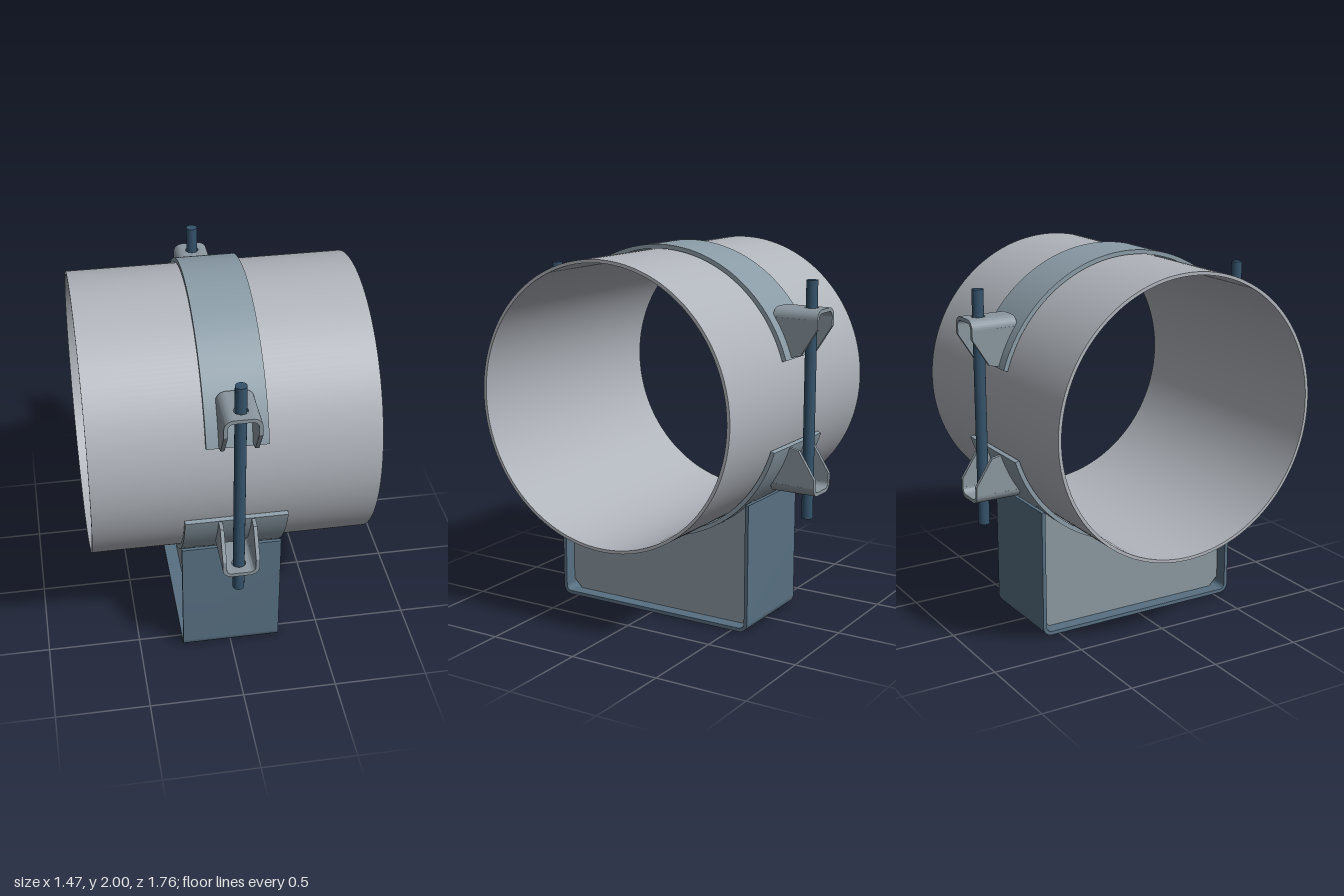
import * as THREE from 'three';
import { toCreasedNormals } from 'three/addons/utils/BufferGeometryUtils.js';

const AXIS = 1.225; // height of the pipe axis
const PIPE_R = 0.748, STRAP_IN = 0.752, STRAP_OUT = 0.775;

const mat = (color) => new THREE.MeshStandardMaterial({ color });
const pipeMat = mat(0xb0b4bb), strapMat = mat(0x8a9ba6), lugMat = mat(0x8a969f);
const channelMat = mat(0x587082), rodMat = mat(0x34526a);

function extrude(shape, depth, curveSegments) {
  const g = new THREE.ExtrudeGeometry(shape, { depth, bevelEnabled: false, curveSegments });
  g.translate(0, 0, -depth / 2);
  return toCreasedNormals(g, 0.5);
}

// Shape drawn in (z, y), extruded along x and centred on x = 0
const extrudeX = (shape, width, segs = 48) => extrude(shape, width, segs).rotateY(-Math.PI / 2);

function add(parent, name, geometry, material, x = 0, y = 0, z = 0) {
  const mesh = new THREE.Mesh(geometry, material);
  mesh.name = name;
  mesh.position.set(x, y, z);
  parent.add(mesh);
  return mesh;
}

function polygon(points) {
  return new THREE.Shape(points.map(([a, b]) => new THREE.Vector2(a, b)));
}

function ringSector(inner, outer, a0, a1) {
  const s = new THREE.Shape();
  s.absarc(0, 0, outer, a0, a1, false);
  s.absarc(0, 0, inner, a1, a0, true);
  s.closePath();
  return s;
}

// Bent clamp bracket, relative to the pipe axis, on the upper front
function makeLug() {
  const lug = new THREE.Group();
  const t = 0.02, half = 0.095, bend = 0.05, top = 0.485;
  const z0 = 0.63, z1 = 0.88, zMid = (z0 + z1) / 2;

  // Side cheeks tapering down to the strap
  const cheek = new THREE.Shape();
  cheek.moveTo(z1, top - bend);
  cheek.lineTo(z1, 0.388);
  cheek.lineTo(0.788, 0.246);
  cheek.lineTo(0.735, 0.235);
  cheek.absarc(0, 0, 0.772, 0.31, 0.598, false);
  cheek.closePath();

  for (const s of [1, -1]) {
    add(lug, 'lugCheek', extrudeX(cheek, t, 12), lugMat, s * (half - t / 2));
    // Rounded bend between cheek and top
    const a0 = s > 0 ? 0 : Math.PI / 2;
    add(lug, 'lugBend', extrude(ringSector(bend - t, bend, a0, a0 + Math.PI / 2), z1 - z0, 8),
      lugMat, s * (half - bend), top - bend, zMid);
  }

  // Flat top with a clearance hole for the rod
  const w = half - bend;
  const plate = polygon([[-w, z0], [w, z0], [w, z1], [-w, z1]]);
  const hole = new THREE.Path();
  hole.absarc(0, 0.8, 0.036, 0, Math.PI * 2, true);
  plate.holes.push(hole);
  add(lug, 'lugTop', extrude(plate, t, 16).rotateX(Math.PI / 2), lugMat, 0, top - t / 2);
  return lug;
}

export function createModel() {
  const model = new THREE.Group();
  model.name = 'pipeClampSupport';

  // Pipe
  const pipe = new THREE.Shape();
  pipe.absarc(0, 0, PIPE_R, 0, Math.PI * 2, false);
  const bore = new THREE.Path();
  bore.absarc(0, 0, 0.731, 0, Math.PI * 2, true);
  pipe.holes.push(bore);
  add(model, 'pipe', extrudeX(pipe, 1.466, 96), pipeMat, 0, AXIS);

  // Upper strap and the wider lower saddle
  const e = 0.298;
  add(model, 'upperStrap', extrudeX(ringSector(STRAP_IN, STRAP_OUT, e, Math.PI - e), 0.314, 64),
    strapMat, 0, AXIS);
  add(model, 'lowerSaddle', extrudeX(ringSector(STRAP_IN, STRAP_OUT, Math.PI + e, 2 * Math.PI - e), 0.53, 64),
    strapMat, 0, AXIS);

  // Four brackets and two threaded rods
  for (const turnY of [0, Math.PI]) {
    for (const turnZ of [0, Math.PI]) {
      const lug = makeLug();
      lug.name = 'clampLug';
      lug.position.y = AXIS;
      lug.rotation.set(0, turnY, turnZ);
      model.add(lug);
    }
    add(model, 'rod', new THREE.CylinderGeometry(0.03, 0.03, 1.25, 32), rodMat,
      0, AXIS, turnY ? -0.8 : 0.8);
  }

  // Bent base channel, open at both x ends
  const Z = 0.595, H = 0.698, t = 0.02, r = 0.05;
  const channel = new THREE.Shape();
  channel.moveTo(-Z, H);
  channel.lineTo(-Z, r);
  channel.absarc(-Z + r, r, r, Math.PI, 1.5 * Math.PI, false);
  channel.absarc(Z - r, r, r, 1.5 * Math.PI, 2 * Math.PI, false);
  channel.lineTo(Z, H);
  channel.lineTo(Z - t, H);
  channel.absarc(Z - r, r, r - t, 0, -Math.PI / 2, true);
  channel.absarc(-Z + r, r, r - t, -Math.PI / 2, -Math.PI, true);
  channel.lineTo(-Z + t, H);
  channel.closePath();
  add(model, 'baseChannel', extrudeX(channel, 0.53, 10), channelMat);

  // Web plates with clipped corners, cradling the saddle
  const wz = 0.574, clip = 0.05, R = 0.773;
  const a = Math.acos(wz / R);
  const web = new THREE.Shape();
  web.moveTo(-wz, t + clip);
  web.lineTo(-wz + clip, t);
  web.lineTo(wz - clip, t);
  web.lineTo(wz, t + clip);
  web.absarc(0, AXIS, R, -a, -Math.PI + a, true);
  web.closePath();
  for (const s of [1, -1]) add(model, 'webPlate', extrudeX(web, 0.025), lugMat, s * 0.18);

  return model;
}
